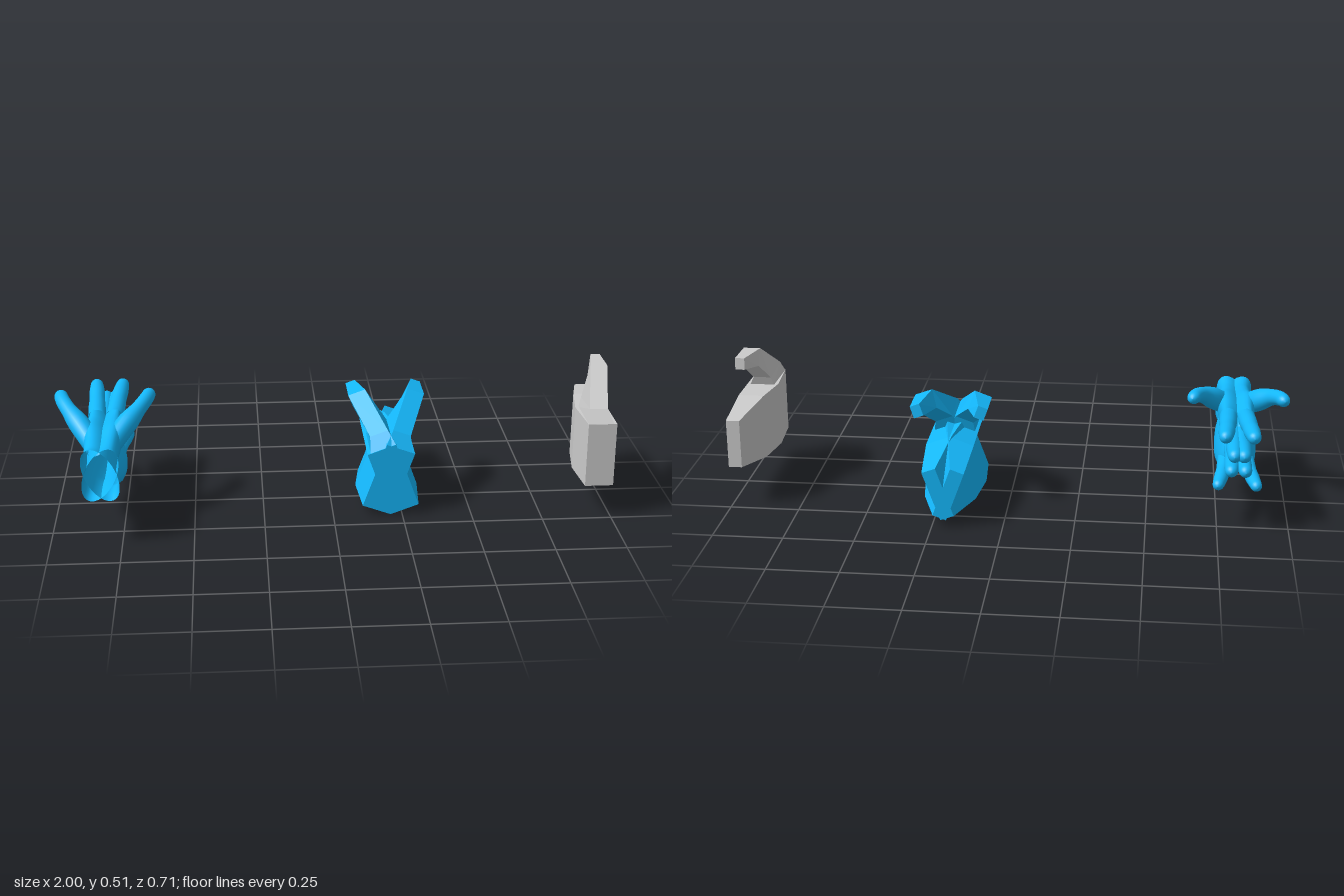
import * as THREE from 'three';

const BLUE = 0x14b8fc;
const V = (x, y, z) => new THREE.Vector3(x, y, z);

// Skin a series of equal-sized rings; caps are optional
function loft(rings, capStart, capEnd) {
  const n = rings[0].length, last = (rings.length - 1) * n, index = [];
  for (let j = 0; j < rings.length - 1; j++) {
    for (let i = 0; i < n; i++) {
      const a = j * n + i, b = j * n + (i + 1) % n;
      index.push(a, a + n, b, b, a + n, b + n);
    }
  }
  for (let i = 1; i < n - 1; i++) {
    if (capStart) index.push(0, i, i + 1);
    if (capEnd) index.push(last, last + i + 1, last + i);
  }
  const g = new THREE.BufferGeometry().setFromPoints(rings.flat());
  g.setIndex(index);
  g.computeVertexNormals();
  return g;
}

// Mirror across x = 0, keeping faces outward
function mirrored(geo) {
  const g = geo.clone().scale(-1, 1, 1);
  g.setIndex(Array.from(g.index.array).reverse());
  g.computeVertexNormals();
  return g;
}

// Four-sided ring between a lower and an upper edge, each given as [z, y]
const slab = ([x0, x1, [zb, yb], [zt, yt]]) =>
  [V(x0, yb, zb), V(x1, yb, zb), V(x1, yt, zt), V(x0, yt, zt)];

// Smooth limb through stations [x, y, z, radiusX, radiusY]
function limb(stations, roundTip, steps = 24, sides = 20) {
  const path = new THREE.CatmullRomCurve3(stations.map(s => V(s[0], s[1], s[2])));
  const size = new THREE.CatmullRomCurve3(stations.map(s => V(s[3], s[4], 0)));
  const rings = [];
  for (let j = 0; j <= steps; j++) {
    const s = j / steps, t = 1 - (1 - s) ** 1.5;
    const p = path.getPoint(t), r = size.getPoint(t), dir = path.getTangent(t);
    const up = V().crossVectors(V(1, 0, 0), dir).negate().normalize();
    const side = V().crossVectors(dir, up).negate().normalize();
    if (side.x < 0) side.negate();
    const k = Math.max(0, (t - 1 + roundTip) / roundTip);
    const f = Math.max(0.02, Math.sqrt(Math.max(0, 1 - k * k)));
    rings.push(Array.from({ length: sides }, (_, i) => {
      const a = i / sides * Math.PI * 2;
      return p.clone().addScaledVector(side, Math.cos(a) * r.x * f)
        .addScaledVector(up.y < 0 ? up.clone().negate() : up, Math.sin(a) * r.y * f);
    }));
  }
  return loft(rings, false, true);
}

// Blocky hand: mitten body and bent thumb
function blockHand() {
  const mitten = [
    [0.898, 1, [0.25, 0.13], [0.25, 0.366]],
    [0.885, 1, [0.08, 0.13], [0.08, 0.367]],
    [0.907, 1, [-0.065, 0.13], [-0.06, 0.367]],
    [0.952, 1, [-0.245, 0.158], [-0.245, 0.335]],
  ];
  const thumb = [
    [0.898, 0.99, [0.07, 0.364], [0.249, 0.364]],
    [0.908, 0.972, [0.06, 0.398], [0.212, 0.41]],
    [0.938, 1, [0.012, 0.458], [0.048, 0.515]],
    [0.966, 1, [-0.082, 0.473], [-0.077, 0.515]],
  ];
  return {
    mitten: loft(mitten.map(slab), true, true),
    blockThumb: loft(thumb.map(slab), true, true),
  };
}

// Natural hand: x is thickness, y runs to the thumb side, fingers point to -z
function naturalHand() {
  const parts = {
    palm: limb([
      [0, 0, 0.355, 0.054, 0.103],
      [0, 0, 0.30, 0.049, 0.093],
      [0, 0, 0.23, 0.049, 0.099],
      [0, -0.005, 0.14, 0.054, 0.122],
      [0, -0.015, 0.05, 0.050, 0.124],
      [0, -0.010, -0.03, 0.041, 0.118],
      [0, -0.005, -0.11, 0.030, 0.104],
    ], 0.12, 30, 32),
    thumb: limb([
      [0.005, 0.04, 0.20, 0.035, 0.04],
      [0.035, 0.115, 0.11, 0.038, 0.042],
      [0.060, 0.165, 0.045, 0.028, 0.030],
      [0.076, 0.190, -0.01, 0.026, 0.026],
      [0.086, 0.203, -0.072, 0.023, 0.022],
    ], 0.12),
  };
  // [name, base y, tip y, tip x, tip z, radius]
  [
    ['indexFinger', 0.075, 0.108, 0.005, -0.318, 0.029],
    ['middleFinger', 0.022, 0.040, 0.000, -0.346, 0.030],
    ['ringFinger', -0.032, -0.035, -0.012, -0.328, 0.028],
    ['littleFinger', -0.083, -0.118, -0.022, -0.285, 0.025],
  ].forEach(([name, y0, y1, x1, z1, r]) => {
    const at = (t, k) => [x1 * t * t, y0 + (y1 - y0) * t, -0.02 + (z1 + 0.02) * t, r * k, r * k];
    parts[name] = limb([at(0, 1.1), at(0.3, 1.08), at(0.5, 0.98), at(0.65, 1), at(0.85, 0.88), at(1, 0.72)], 0.1);
  });
  return parts;
}

function handGroup(name, parts, material, flip) {
  const group = new THREE.Group();
  group.name = name;
  for (const [part, geo] of Object.entries(parts)) {
    const mesh = new THREE.Mesh(flip ? mirrored(geo) : geo, material);
    mesh.name = part;
    group.add(mesh);
  }
  return group;
}

export function createModel() {
  const model = new THREE.Group();
  model.name = 'handStudies';
  const grey = new THREE.MeshStandardMaterial({ color: 0xcccccc, flatShading: true });
  const blueFlat = new THREE.MeshStandardMaterial({ color: BLUE, flatShading: true });
  const blueSmooth = new THREE.MeshStandardMaterial({ color: BLUE, side: THREE.DoubleSide });

  // Single upright blocky hand
  model.add(handGroup('singleBlockHand', blockHand(), grey, false));

  // Crossed pair of blocky hands, tilted about their lower inner edge
  const tilted = blockHand();
  for (const g of Object.values(tilted)) {
    g.translate(-1, -0.13, 0).rotateZ(-Math.PI / 9).scale(1.06, 1.06, 1.06).translate(0, 0.003, -0.095);
  }
  // Crossed pair of natural hands
  const natural = naturalHand();
  for (const g of Object.values(natural)) g.rotateZ(-25 * Math.PI / 180).translate(0, 0.265, 0);

  for (const flip of [false, true]) {
    const side = flip ? 'Left' : 'Right';
    const block = handGroup('blockHand' + side, tilted, blueFlat, flip);
    block.position.x = 0.208;
    const hand = handGroup('naturalHand' + side, natural, blueSmooth, flip);
    hand.position.x = -0.815;
    model.add(block, hand);
  }
  return model;
}
